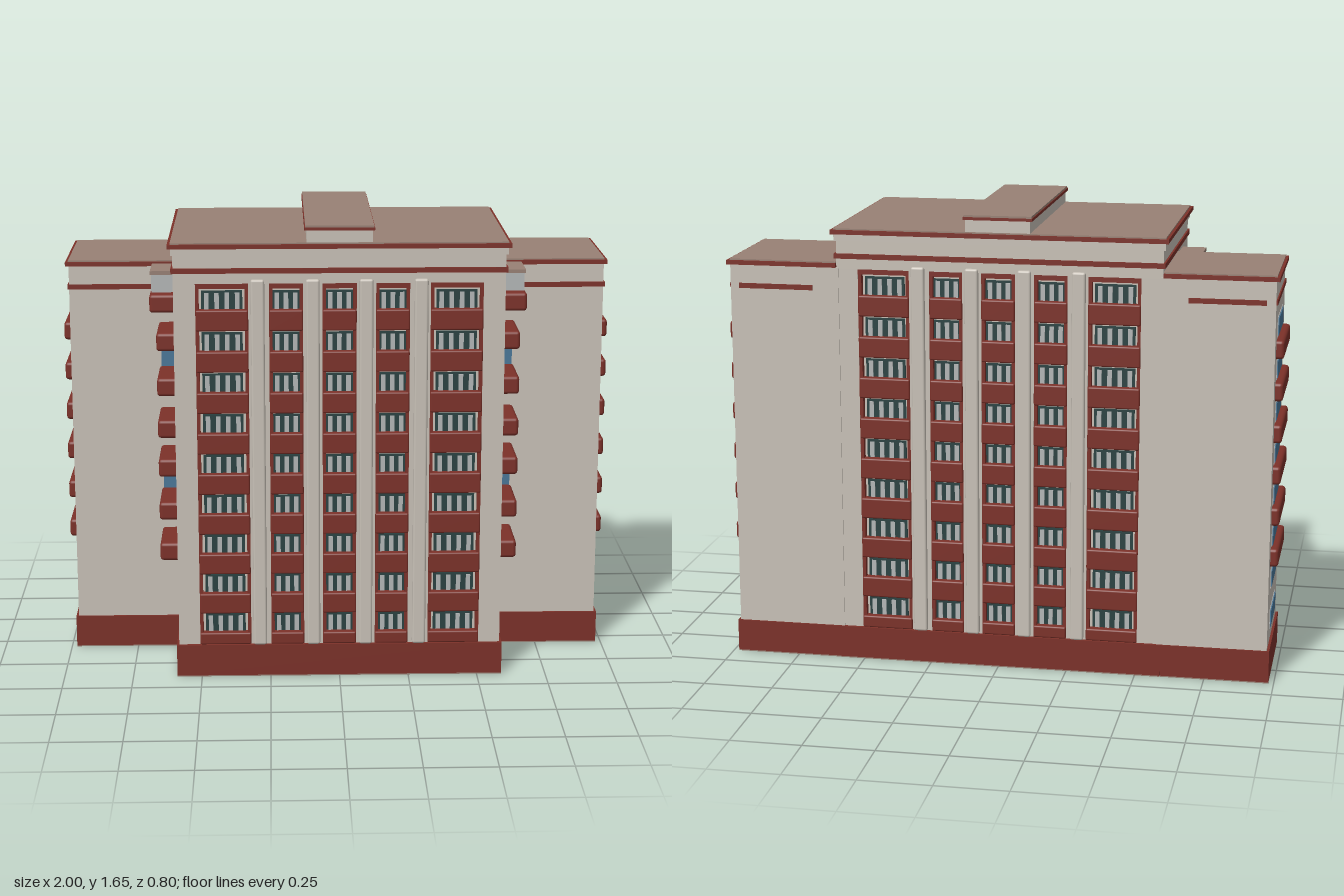
import * as THREE from 'three';
import { RoundedBoxGeometry } from 'three/addons/geometries/RoundedBoxGeometry.js';

const material = (name, color) => {
  const m = new THREE.MeshStandardMaterial({ color });
  m.name = name;
  return m;
};

export function createModel() {
  const wall = material('plaster wall', 0xc8c1b7);
  const red = material('brick red trim', 0x7c3129);
  const roof = material('roof brown', 0x988175);
  const blue = material('blue glass', 0x4a7798);
  const dark = material('dark teal glass', 0x2a4242);
  const pane = material('pale window frame', 0xb4b7b7);

  // Box given by its limits; a radius rounds its edges
  function box(parent, name, mat, [x0, x1], [y0, y1], [z0, z1], radius = 0) {
    const w = Math.abs(x1 - x0), h = y1 - y0, d = Math.abs(z1 - z0);
    const geo = radius ? new RoundedBoxGeometry(w, h, d, 2, radius) : new THREE.BoxGeometry(w, h, d);
    const mesh = new THREE.Mesh(geo, mat);
    mesh.name = name;
    mesh.position.set((x0 + x1) / 2, (y0 + y1) / 2, (z0 + z1) / 2);
    parent.add(mesh);
    return mesh;
  }
  const group = (name, parent) => {
    const g = new THREE.Group();
    g.name = name;
    parent.add(g);
    return g;
  };

  const model = new THREE.Group();
  model.name = 'apartmentBlock';

  // Central tower: plinth, core, attic, cornice and roof
  const tower = group('tower', model);
  box(tower, 'towerPlinth', red, [-0.59, 0.59], [0.004, 0.12], [-0.392, 0.392]);
  box(tower, 'towerUnderside', roof, [-0.59, 0.59], [0, 0.004], [-0.392, 0.392]);
  box(tower, 'towerCore', wall, [-0.582, 0.582], [0.12, 1.45], [-0.355, 0.355]);
  box(tower, 'attic', wall, [-0.582, 0.582], [1.45, 1.55], [-0.382, 0.382]);
  box(tower, 'atticBand', red, [-0.589, 0.589], [1.487, 1.505], [-0.389, 0.389]);
  box(tower, 'corniceCove', wall, [-0.589, 0.589], [1.55, 1.575], [-0.389, 0.389]);
  box(tower, 'towerCornice', red, [-0.6, 0.6], [1.575, 1.59], [-0.4, 0.4]);
  box(tower, 'towerRoof', roof, [-0.59, 0.59], [1.59, 1.595], [-0.39, 0.39]);

  // Raised strip across the roof
  box(tower, 'ridgeWall', wall, [-0.115, 0.115], [1.59, 1.638], [-0.386, 0.386]);
  box(tower, 'ridgeTrim', red, [-0.123, 0.123], [1.638, 1.648], [-0.393, 0.393]);
  box(tower, 'ridgeRoof', roof, [-0.12, 0.12], [1.648, 1.655], [-0.39, 0.39]);

  // Window bays as [left, right, window half width, number of frames]
  const bays = [
    [-0.505, -0.32, 0.072, 4], [-0.247, -0.128, 0.048, 3], [-0.06, 0.06, 0.048, 3],
    [0.128, 0.247, 0.048, 3], [0.32, 0.505, 0.072, 4],
  ];
  const floors = 9, pitch = 0.149;

  function addFacade(name, turn) {
    const f = group(name, tower);
    f.rotation.y = turn;
    // Wall strips between the recessed bays
    const edges = [-0.582, ...bays.flatMap(b => [b[0], b[1]]), 0.582];
    for (let i = 0; i < edges.length; i += 2)
      box(f, 'pier', wall, [edges[i], edges[i + 1]], [0.12, 1.45], [0.35, 0.38]);
    for (const x of [-0.287, -0.094, 0.094, 0.287])
      box(f, 'pilaster', wall, [x - 0.024, x + 0.024], [0.12, 1.465], [0.37, 0.395], 0.008);
    for (const [l, r, half, count] of bays) {
      const bay = group('windowBay', f), cx = (l + r) / 2;
      for (const [a, b] of [[l, l + 0.012], [r - 0.012, r]])
        box(bay, 'bayEdge', red, [a, b], [0.12, 1.45], [0.354, 0.378]);
      box(bay, 'bayHead', red, [l, r], [1.432, 1.45], [0.354, 0.381]);
      for (let i = 0; i < floors; i++) {
        const y = 0.2 + i * pitch;
        const bottom = i ? y - 0.111 : 0.12;
        box(bay, 'balconyFront', red, [l, r], [bottom, y - 0.036], [0.352, 0.387], 0.006);
        box(bay, 'window', dark, [cx - half, cx + half], [y - 0.036, y + 0.03], [0.354, 0.359]);
        // Pale uprights and sill rail
        for (let k = 0; k < count; k++) {
          const x = cx - half + (2 * half * (k + 0.5)) / count;
          box(bay, 'windowFrame', pane, [x - 0.008, x + 0.008], [y - 0.036, y + 0.022], [0.357, 0.362]);
        }
      }
    }
  }
  addFacade('frontFacade', 0);
  addFacade('backFacade', Math.PI);

  // Side wings, mirrored
  for (const s of [1, -1]) {
    const wing = group(s > 0 ? 'leftWing' : 'rightWing', model);
    const put = (name, mat, [a, b], ys, zs, r) => box(wing, name, mat, [s * a, s * b], ys, zs, r);
    put('wingPlinth', red, [0.58, 0.981], [0.004, 0.12], [-0.39, 0.062]);
    put('wingUnderside', roof, [0.59, 0.981], [0, 0.004], [-0.39, 0.062]);
    put('wingWall', wall, [0.575, 0.972], [0.12, 1.455], [-0.384, 0.055]);
    put('wingSideBand', red, [0.97, 0.977], [1.37, 1.388], [-0.375, 0.058]);
    put('wingFrontBand', red, [0.67, 0.977], [1.37, 1.388], [0.053, 0.06]);
    put('wingBackBand', red, [0.67, 0.94], [1.37, 1.388], [-0.389, -0.382]);
    put('wingCornice', red, [0.583, 0.984], [1.455, 1.47], [-0.396, 0.065]);
    put('wingRoof', roof, [0.583, 0.974], [1.47, 1.475], [-0.386, 0.055]);

    // End wall windows with sills, and long balconies between them
    for (let i = 0; i < 8; i++) {
      const y = 0.205 + i * 0.153;
      put('endWindowFrame', pane, [0.968, 0.974], [y - 0.036, y + 0.036], [-0.286, -0.046]);
      put('endWindow', blue, [0.97, 0.977], [y - 0.03, y + 0.03], [-0.278, -0.054]);
    }
    for (let i = 0; i < 6; i++) {
      const y = 0.447 + i * 0.151;
      put('endBalcony', red, [0.96, 1.0], [y - 0.033, y + 0.033], [-0.325, -0.003], 0.012);
    }

    // Corner balconies between tower and wing
    [0.434, 0.588, 0.75, 0.895, 1.05, 1.215, 1.355].forEach((y, i) => {
      const out = i === 6 ? 0.672 : 0.65;
      put('cornerBalcony', red, [0.572, out], [y - 0.033, y + 0.033], [0.045, 0.263], 0.012);
    });
    for (const [a, b] of [[0.62, 0.717], [1.083, 1.182]])
      put('cornerWindow', blue, [0.582, 0.642], [a, b], [0.053, 0.059]);

    // Glazed top balcony with uprights and a small roof
    put('glazedBalcony', blue, [0.58, 0.662], [1.388, 1.452], [0.05, 0.212]);
    for (const z of [0.06, 0.13, 0.205])
      put('glazingUpright', pane, [0.58, 0.666], [1.388, 1.452], [z - 0.005, z + 0.008]);
    put('glazedBalconyRoof', roof, [0.58, 0.67], [1.452, 1.465], [0.05, 0.217]);
  }

  // Sheltered panel on one corner balcony
  box(model, 'balconyPanel', roof, [0.58, 0.588], [0.62, 0.72], [0.06, 0.18]);

  return model;
}
